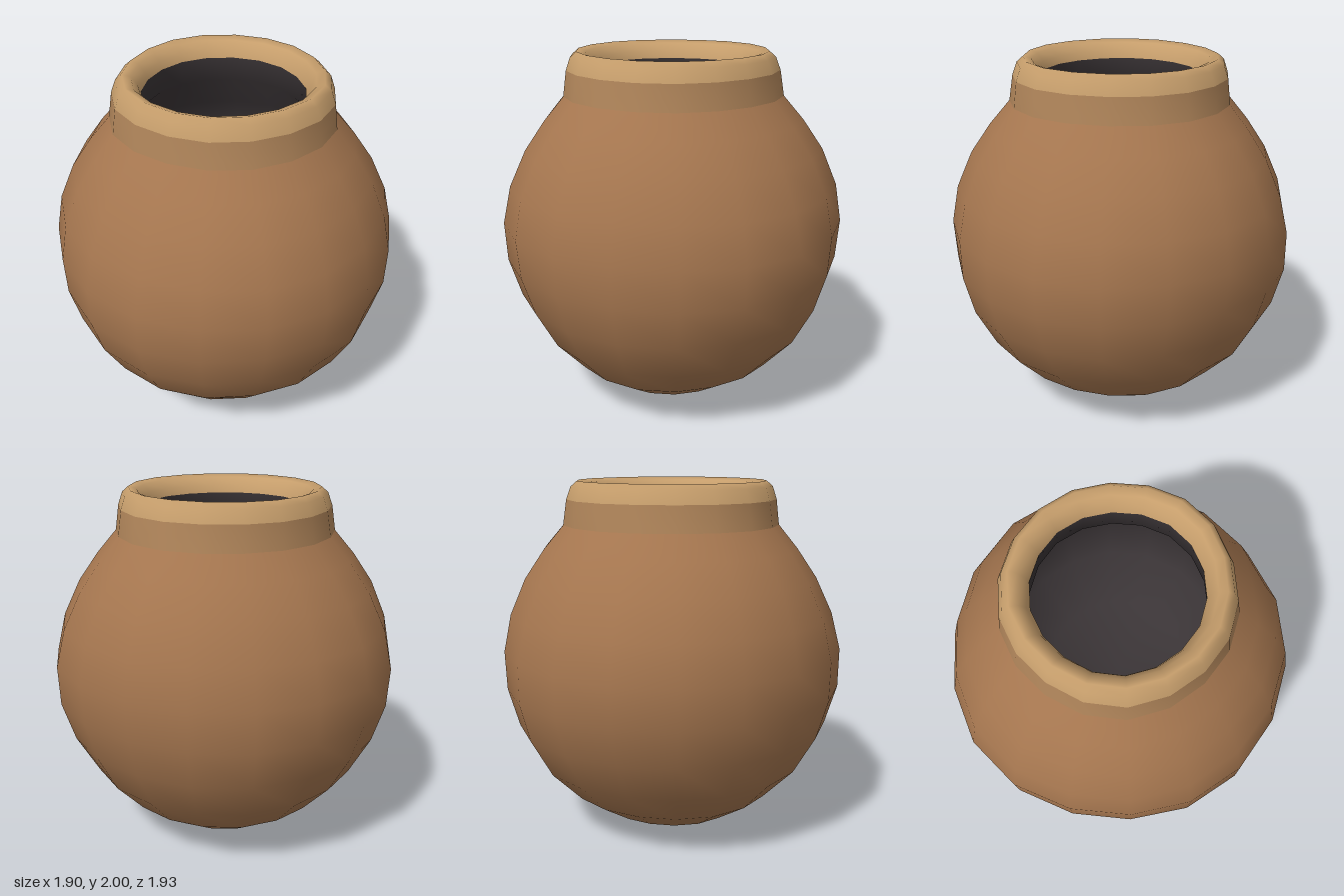
import * as THREE from 'three';
import { mergeVertices } from 'three/addons/utils/BufferGeometryUtils.js';

const SIDES = 18;

// Turned part with a slight hand-formed wobble; profile is [radius, height] pairs
function turned(name, profile, color) {
  let geo = new THREE.LatheGeometry(profile.map(([r, y]) => new THREE.Vector2(r, y)), SIDES);
  const p = geo.attributes.position;
  for (let i = 0; i < p.count; i++) {
    const x = p.getX(i), y = p.getY(i), z = p.getZ(i);
    const a = Math.atan2(z, x);
    const k = 1 + 0.008 * Math.sin(3 * a + 4 * y) + 0.006 * Math.cos(5 * a - 3 * y);
    p.setXYZ(i, x * k, y, z * k);
  }
  // Weld the lathe seam so shading stays smooth all the way round
  geo.deleteAttribute('uv');
  geo.deleteAttribute('normal');
  geo = mergeVertices(geo, 1e-4);
  geo.computeVertexNormals();
  const mesh = new THREE.Mesh(geo, new THREE.MeshStandardMaterial({ color }));
  mesh.name = name;
  return mesh;
}

export function createModel() {
  const pot = new THREE.Group();
  pot.name = 'clayPot';

  // Round belly, closed underneath
  pot.add(turned('body', [
    [0, 0], [0.18, 0.015], [0.4, 0.09], [0.6, 0.22], [0.77, 0.4], [0.89, 0.62],
    [0.955, 0.84], [0.965, 1.06], [0.92, 1.27], [0.83, 1.47], [0.72, 1.63], [0.61, 1.76],
  ], 0xa5764f));

  // Short collar rising from the shoulder
  pot.add(turned('neck', [[0.61, 1.76], [0.6, 1.83], [0.59, 1.9]], 0xb0855a));

  // Thick rounded lip, turning in to the mouth
  pot.add(turned('rim', [
    [0.59, 1.9], [0.565, 1.97], [0.53, 2], [0.485, 1.985], [0.45, 1.94], [0.435, 1.9],
  ], 0xc59d6b));

  // Dark hollow inside
  pot.add(turned('interior', [
    [0.435, 1.9], [0.45, 1.76], [0.6, 1.55], [0.7, 1.3], [0.65, 1.02], [0.42, 0.8], [0, 0.72],
  ], 0x3a3436));

  return pot;
}
